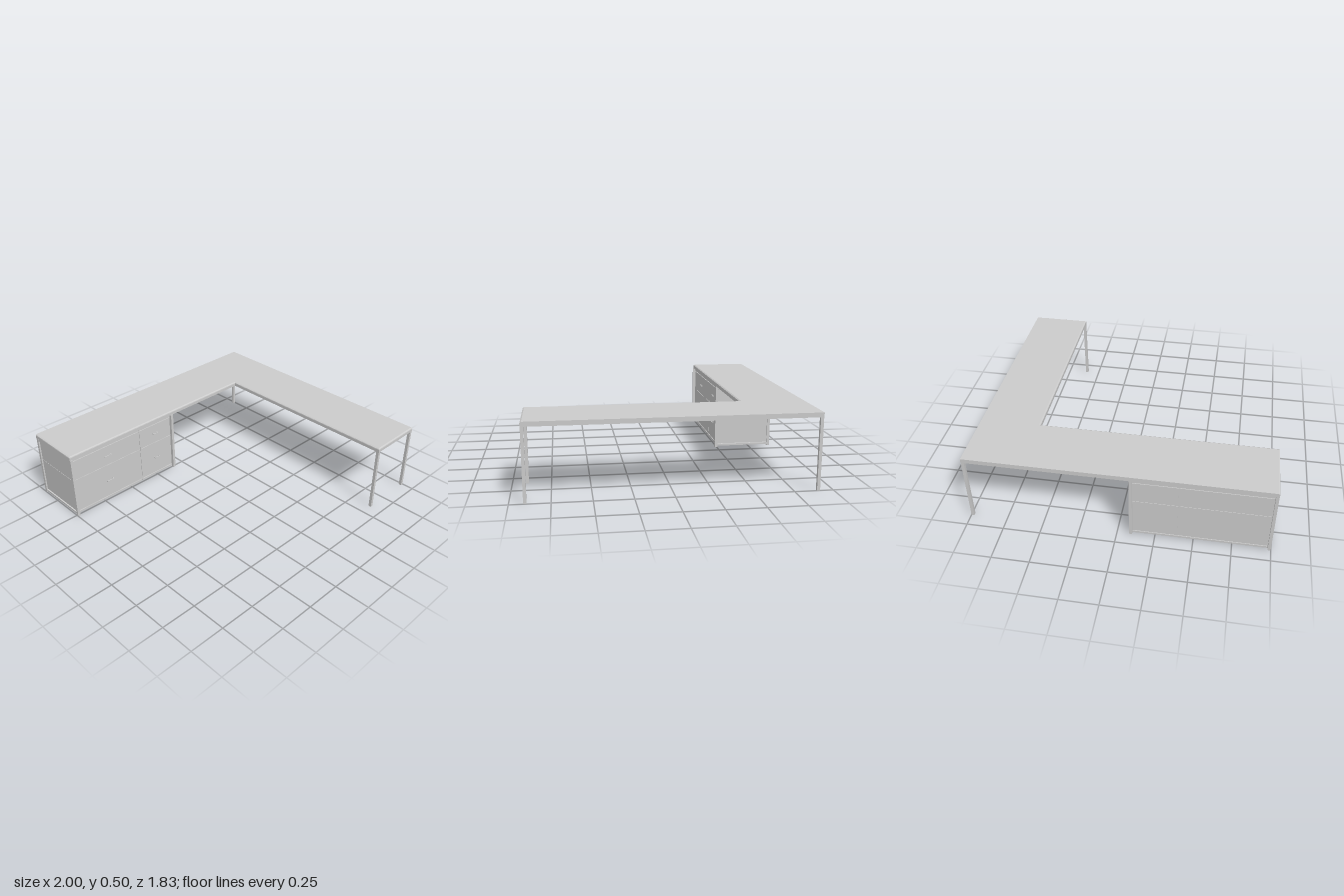
import * as THREE from 'three';

const material = new THREE.MeshStandardMaterial({ color: 0xcccccc });

export function createModel() {
  const desk = new THREE.Group();
  desk.name = 'cornerDesk';

  // Box given by its min and max corners
  const box = (name, x0, x1, y0, y1, z0, z1, parent = desk) => {
    const mesh = new THREE.Mesh(new THREE.BoxGeometry(x1 - x0, y1 - y0, z1 - z0), material);
    mesh.position.set((x0 + x1) / 2, (y0 + y1) / 2, (z0 + z1) / 2);
    mesh.name = name;
    parent.add(mesh);
    return mesh;
  };

  // L-shaped top: rounded on the user's edges, square on the back and outer side
  const outline = [[-1, -0.915], [1, -0.915], [1, 0.915], [0.59, 0.915], [0.59, -0.49], [-1, -0.49]];
  const shape = new THREE.Shape(outline.map(([x, z]) => new THREE.Vector2(x, -z)));
  const topGeometry = new THREE.ExtrudeGeometry(shape, { depth: 0.03, steps: 6, bevelEnabled: false });
  topGeometry.rotateX(-Math.PI / 2);
  const pos = topGeometry.attributes.position;
  const near = (a, b) => Math.abs(a - b) < 1e-4;
  const radius = 0.01;
  for (let i = 0; i < pos.count; i++) {
    const x = pos.getX(i), z = pos.getZ(i);
    const t = Math.min(1, Math.max(0, (pos.getY(i) - 0.02) / radius));
    const inset = radius * (1 - Math.sqrt(1 - t * t));
    if (near(x, -1) || near(x, 0.59)) pos.setX(i, x + inset);
    if (near(z, -0.49) || near(z, 0.915)) pos.setZ(i, z - inset);
  }
  topGeometry.computeVertexNormals();
  const top = new THREE.Mesh(topGeometry, material);
  top.position.y = 0.47;
  top.name = 'desktop';
  desk.add(top);

  // Square legs under the desk and at the cabinet corners
  const legs = [[0.6, 0.904], [0.989, 0.904], [0.989, -0.904],
    [-0.989, -0.904], [-0.989, -0.495], [-0.09, -0.904], [-0.09, -0.495]];
  for (const [x, z] of legs) box('leg', x - 0.01, x + 0.01, 0, 0.47, z - 0.01, z + 0.01);

  // Cabinet: core, then thin panels separated by narrow grooves
  const cabinet = new THREE.Group();
  cabinet.name = 'cabinet';
  desk.add(cabinet);
  const x0 = -0.979, x1 = -0.1, zb = -0.894, zf = -0.505, split = -0.395, gap = 0.0015;
  box('cabinetCore', x0 - 0.002, x1 + 0.002, 0.016, 0.45, zb + 0.001, zf - 0.006, cabinet);

  const rows = [[0.026, 0.29], [0.29, 0.445]];
  const columns = [[x0, split], [split, x1]];
  for (const [y0, y1] of rows) {
    const a = y0 + gap, b = y1 - gap;
    for (const [c0, c1] of columns) {
      box('drawerFront', c0 + gap, c1 - gap, a, b, zf - 0.006, zf, cabinet);
      box('backPanel', c0 + gap, c1 - gap, a, b, zb - 0.008, zb + 0.001, cabinet);
      // Bar handle on two short posts
      const half = c1 === split ? 0.03 : 0.023;
      const hx = (c0 + c1) / 2, hy = (y0 + y1) / 2 + 0.003;
      box('handle', hx - half, hx + half, hy - 0.003, hy + 0.003, zf + 0.009, zf + 0.014, cabinet);
      for (const s of [-1, 1]) {
        const px = hx + s * (half - 0.004);
        box('handlePost', px - 0.003, px + 0.003, hy - 0.003, hy + 0.003, zf, zf + 0.01, cabinet);
      }
    }
    box('sidePanel', x1 + 0.001, x1 + 0.01, a, b, zb, zf, cabinet);
    box('sidePanel', x0 - 0.01, x0 - 0.001, a, b, zb, zf, cabinet);
  }

  // Rails framing the cabinet above and below the panels
  for (const [y0, y1] of [[0.01, 0.024], [0.45, 0.47]]) {
    for (const z of [zf - 0.01, zb - 0.01]) {
      for (const [c0, c1] of columns) box('longRail', c0 + gap, c1 - gap, y0, y1, z, z + 0.012, cabinet);
    }
    for (const x of [-0.09, -0.989]) box('sideRail', x - 0.008, x + 0.008, y0, y1, zb, zf, cabinet);
  }

  // Two bottom boards
  for (const [c0, c1] of columns) box('bottomBoard', c0 + gap, c1 - gap, 0.012, 0.017, zb, zf, cabinet);

  return desk;
}
